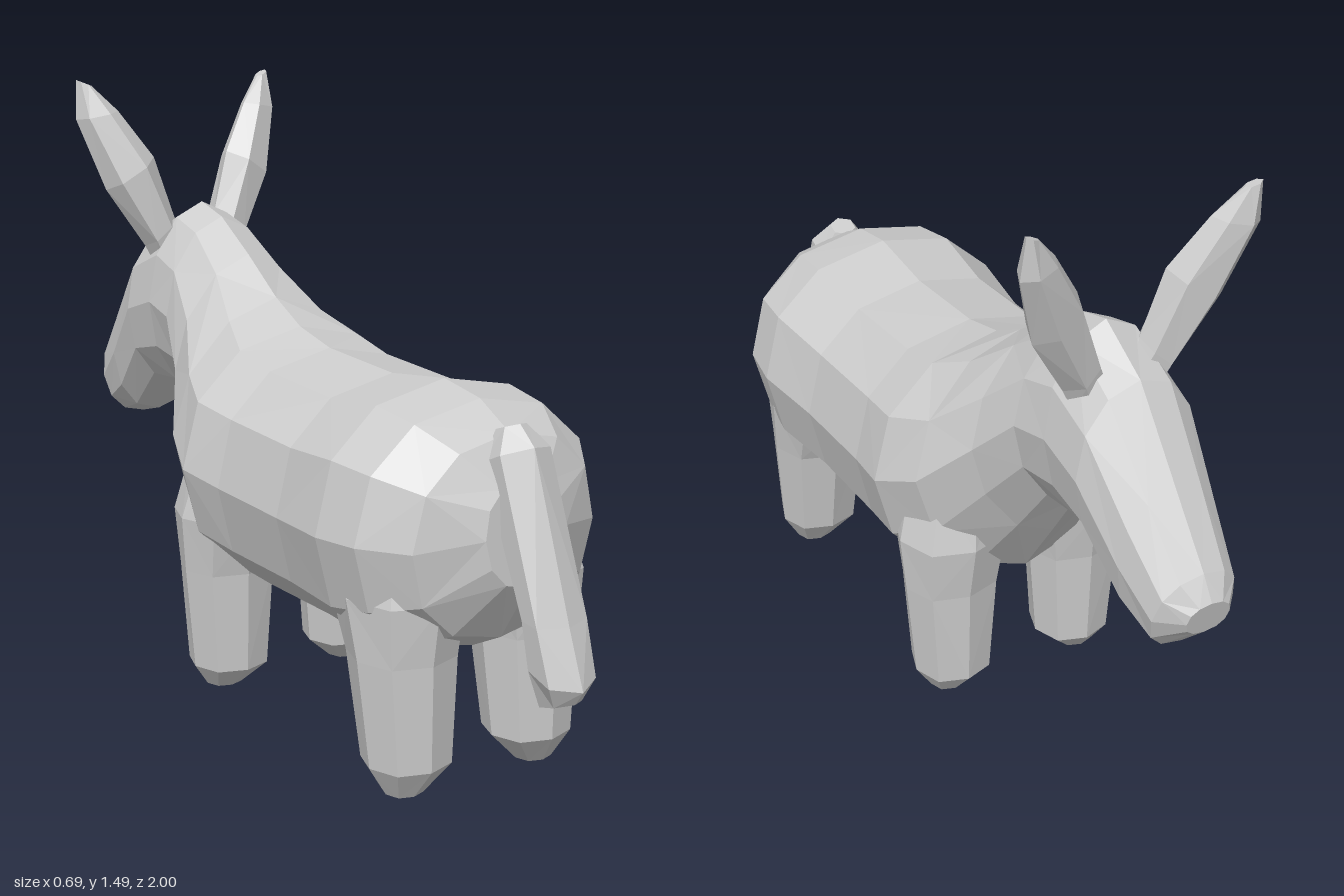
import * as THREE from 'three';

const V = (x, y, z) => new THREE.Vector3(x, y, z);
const power = (t, k) => Math.sign(t) * Math.pow(Math.abs(t), k);

// Faceted skin over rings; a ring runs between edge points a and b, widened by side vector s;
// k below 1 makes the ring squarer, above 1 more pointed
function loft(name, rings, sides, material) {
  const rows = rings.map(({ a, b, s, k = 1 }) => {
    const mid = a.clone().add(b).multiplyScalar(0.5);
    const half = a.clone().sub(b).multiplyScalar(0.5);
    const pts = [];
    for (let i = 0; i < sides; i++) {
      const t = (i / sides) * Math.PI * 2;
      pts.push(mid.clone().addScaledVector(half, power(Math.cos(t), k)).addScaledVector(s, power(Math.sin(t), k)));
    }
    return { mid, pts };
  });
  const tris = [];
  const last = rows.length - 1;
  for (let i = 0; i < sides; i++) {
    const j = (i + 1) % sides;
    for (let r = 0; r < last; r++) {
      const p = rows[r].pts, q = rows[r + 1].pts;
      if ((r + i) % 2) tris.push([p[i], p[j], q[j]], [p[i], q[j], q[i]]);
      else tris.push([p[i], p[j], q[i]], [p[j], q[j], q[i]]);
    }
    tris.push([rows[0].mid, rows[0].pts[j], rows[0].pts[i]]);
    tris.push([rows[last].mid, rows[last].pts[i], rows[last].pts[j]]);
  }
  // Turn every face outward
  const volume = tris.reduce((sum, [a, b, c]) => sum + a.dot(b.clone().cross(c)), 0);
  const points = tris.flatMap(([a, b, c]) => (volume < 0 ? [a, c, b] : [a, b, c]));
  const geometry = new THREE.BufferGeometry().setFromPoints(points);
  geometry.computeVertexNormals();
  const mesh = new THREE.Mesh(geometry, material);
  mesh.name = name;
  return mesh;
}

// Ring across the centre plane: top z, top y, bottom z, bottom y, half width, squareness
const spineRing = ([tz, ty, bz, by, w, k]) => ({ a: V(0, ty, tz), b: V(0, by, bz), s: V(w, 0, 0), k });

export function createModel() {
  const model = new THREE.Group();
  model.name = 'donkey';
  const hide = new THREE.MeshStandardMaterial({ color: 0xcccccc });
  hide.name = 'grey hide';

  // Body, neck and head in one skin, rump to muzzle
  const body = [
    [0.79, 0.74, 0.81, 0.50, 0.11, 0.9], [0.735, 0.83, 0.72, 0.36, 0.25, 0.9],
    [0.63, 0.885, 0.62, 0.31, 0.33, 0.9], [0.5, 0.905, 0.5, 0.28, 0.347, 0.9],
    [0.3, 0.878, 0.3, 0.285, 0.32, 0.9], [0.04, 0.89, 0.04, 0.285, 0.318, 0.9],
    [-0.09, 0.92, -0.1, 0.29, 0.335, 0.95], [-0.2, 0.975, -0.24, 0.34, 0.29, 1.1],
    [-0.33, 1.065, -0.36, 0.51, 0.21, 1.15], [-0.46, 1.145, -0.46, 0.655, 0.168, 1.1],
    [-0.56, 1.172, -0.58, 0.668, 0.157, 1.05], [-0.7, 1.09, -0.69, 0.67, 0.153, 0.95],
    [-0.85, 0.9, -0.81, 0.565, 0.127, 0.9], [-0.965, 0.755, -0.9, 0.54, 0.105, 0.9],
    [-1.0, 0.70, -0.98, 0.615, 0.055, 0.9],
  ];
  model.add(loft('bodyAndHead', body.map(spineRing), 12, hide));

  // Tail
  const tail = [
    [0.77, 0.857, 0.71, 0.835, 0.035], [0.82, 0.815, 0.7, 0.76, 0.08],
    [0.95, 0.45, 0.85, 0.46, 0.08], [1.0, 0.32, 0.86, 0.36, 0.075],
    [0.975, 0.285, 0.88, 0.258, 0.045],
  ];
  model.add(loft('tail', tail.map(spineRing), 6, hide));

  // Legs: y, centre x, centre z, half width, half depth
  const frontLeg = [
    [0.01, 0.185, -0.17, 0.045, 0.045], [0.065, 0.172, -0.165, 0.096, 0.096],
    [0.32, 0.173, -0.165, 0.118, 0.105], [0.46, 0.168, -0.16, 0.135, 0.13],
    [0.62, 0.15, -0.14, 0.11, 0.12],
  ];
  const backLeg = [
    [0.0, 0.185, 0.61, 0.045, 0.045], [0.07, 0.172, 0.605, 0.1, 0.097],
    [0.32, 0.173, 0.585, 0.12, 0.12], [0.46, 0.168, 0.56, 0.138, 0.16],
    [0.62, 0.15, 0.55, 0.11, 0.12],
  ];
  // Ears: inner edge, outer edge, half depth
  const ear = [
    [0.03, 1.07, -0.595, 0.11, 1.0, -0.61, 0.045], [0.06, 1.13, -0.6, 0.14, 1.06, -0.615, 0.055],
    [0.11, 1.29, -0.615, 0.235, 1.21, -0.645, 0.058], [0.19, 1.41, -0.655, 0.293, 1.39, -0.69, 0.038],
    [0.25, 1.475, -0.685, 0.285, 1.49, -0.7, 0.014],
  ];
  for (const [side, m] of [['left', 1], ['right', -1]]) {
    for (const [name, rows] of [['FrontLeg', frontLeg], ['BackLeg', backLeg]]) {
      const rings = rows.map(([y, x, z, w, d]) => ({
        a: V(m * x, y, z + d), b: V(m * x, y, z - d), s: V(w, 0, 0), k: 0.85,
      }));
      model.add(loft(side + name, rings, 8, hide));
    }
    const rings = ear.map(([ix, iy, iz, ox, oy, oz, d]) => ({
      a: V(m * ix, iy, iz), b: V(m * ox, oy, oz), s: V(m * d * 0.25, 0, d),
    }));
    model.add(loft(side + 'Ear', rings, 6, hide));
  }
  return model;
}
